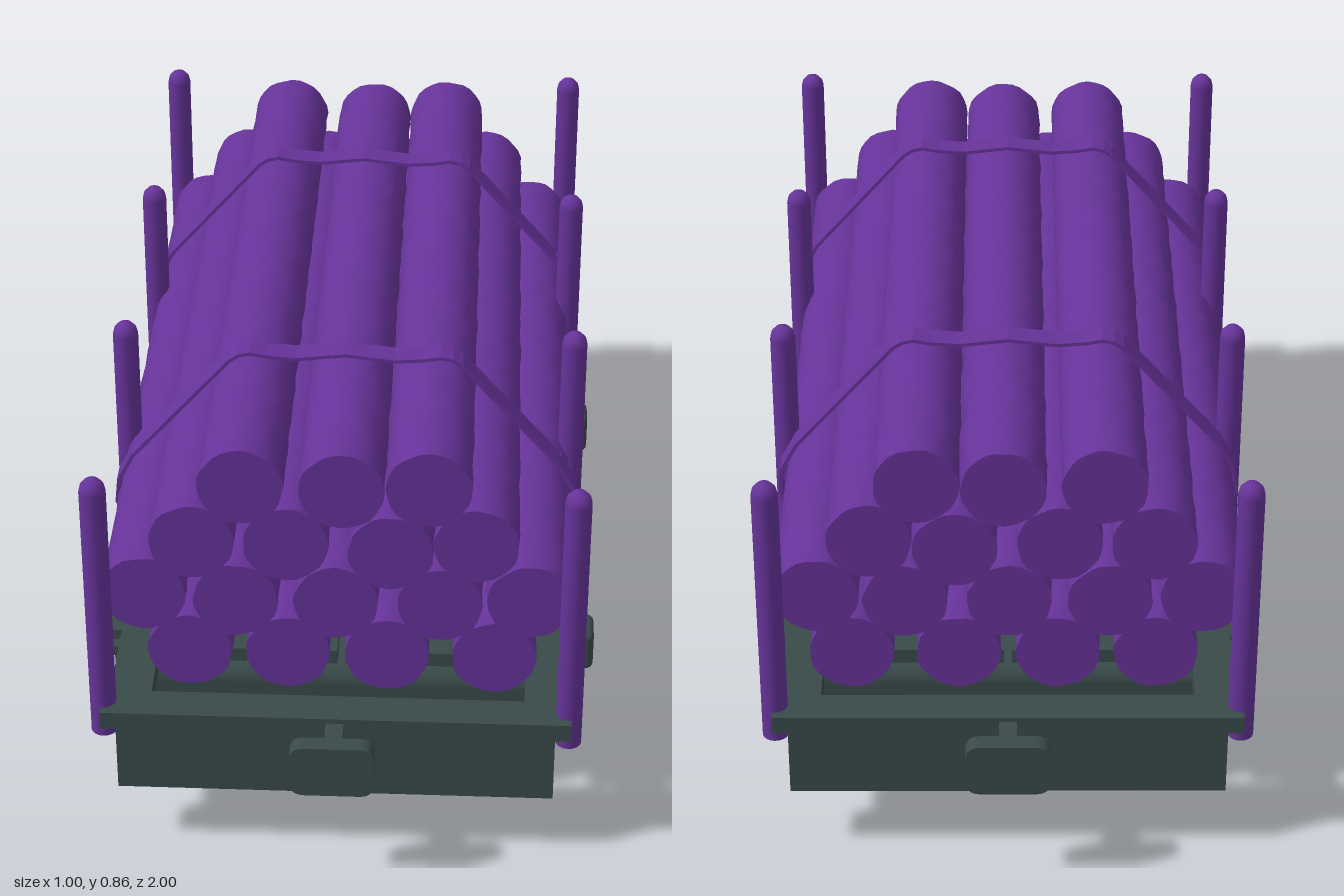
import * as THREE from 'three';
import { RoundedBoxGeometry } from 'three/addons/geometries/RoundedBoxGeometry.js';

const purple = new THREE.MeshStandardMaterial({ color: 0x663399 });
purple.name = 'purple timber and metal';
purple.side = THREE.DoubleSide;
const dark = new THREE.MeshStandardMaterial({ color: 0x384a49 });
dark.name = 'dark slate frame';

export function createModel() {
  const root = new THREE.Group();
  root.name = 'logWagon';

  function add(name, geometry, material, x = 0, y = 0, z = 0, parent = root) {
    const mesh = new THREE.Mesh(geometry, material);
    mesh.name = name;
    mesh.position.set(x, y, z);
    parent.add(mesh);
    return mesh;
  }
  // Box given by its limits
  function box(name, x0, x1, y0, y1, z0, z1, parent = root, material = dark) {
    return add(name, new THREE.BoxGeometry(x1 - x0, y1 - y0, z1 - z0), material,
      (x0 + x1) / 2, (y0 + y1) / 2, (z0 + z1) / 2, parent);
  }
  // Rounded box given by its limits
  function soft(name, x0, x1, y0, y1, z0, z1, r, parent = root) {
    return add(name, new RoundedBoxGeometry(x1 - x0, y1 - y0, z1 - z0, 3, r), dark,
      (x0 + x1) / 2, (y0 + y1) / 2, (z0 + z1) / 2, parent);
  }
  // Profile in (z, y), extruded across x
  function across(name, points, x0, x1, parent = root) {
    const shape = new THREE.Shape(points.map(([z, y]) => new THREE.Vector2(-z, y)));
    const g = new THREE.ExtrudeGeometry(shape, { depth: x1 - x0, bevelEnabled: false, curveSegments: 8 });
    g.rotateY(Math.PI / 2);
    return add(name, g, dark, x0, 0, 0, parent);
  }

  // Stacked logs with uneven bark
  const logs = [
    [-0.282, 0.385], [-0.095, 0.385], [0.094, 0.385], [0.298, 0.385],
    [-0.368, 0.514], [-0.193, 0.504], [-0.003, 0.504], [0.194, 0.504], [0.362, 0.516],
    [-0.274, 0.634], [-0.097, 0.634], [0.1, 0.62], [0.26, 0.64],
    [-0.18, 0.76], [0.008, 0.755], [0.17, 0.763],
  ];
  logs.forEach(([x, y], n) => {
    const g = new THREE.CylinderGeometry(0.08, 0.08, 1.54, 28, 36);
    g.rotateX(Math.PI / 2);
    const p = g.attributes.position;
    for (let i = 0; i < p.count; i++) {
      const a = Math.atan2(p.getY(i), p.getX(i)), z = p.getZ(i);
      const s = 1 + 0.012 * Math.sin(5 * a + 31 * z + n) + 0.012 * Math.sin(9 * a - 57 * z + 2 * n);
      p.setXY(i, p.getX(i) * s, p.getY(i) * s);
    }
    g.computeVertexNormals();
    add('log', g, purple, x, y, 0);
  });

  // Straps over the load
  const half = [[0, 0.858], [0.094, 0.847], [0.15, 0.851], [0.183, 0.857], [0.205, 0.852], [0.223, 0.84],
    [0.417, 0.618], [0.447, 0.56], [0.452, 0.51], [0.417, 0.435], [0.344, 0.328]];
  for (const z of [0.43, -0.38]) {
    const strap = new THREE.Group();
    strap.name = 'strap';
    root.add(strap);
    for (const s of [-1, 1]) {
      for (let i = 0; i < half.length - 1; i++) {
        const [ax, ay] = half[i], [bx, by] = half[i + 1];
        const len = Math.hypot(bx - ax, by - ay);
        const m = add('strapSegment', new THREE.BoxGeometry(len + 0.003, 0.007, 0.048), purple,
          s * (ax + bx) / 2, (ay + by) / 2, z, strap);
        m.rotation.z = s * Math.atan2(by - ay, bx - ax);
      }
    }
  }

  // Round-topped stakes with sockets
  const stake = new THREE.LatheGeometry([[0, 0.25], [0.025, 0.25], [0.025, 0.795], [0.022, 0.808],
    [0.013, 0.818], [0, 0.822]].map(([r, y]) => new THREE.Vector2(r, y)), 18);
  for (const s of [-1, 1]) {
    for (const z of [0.845, 0.283, -0.283, -0.845]) {
      add('stake', stake, purple, s * 0.443, 0, z);
    }
    for (const z of [0.8, -0.8]) {
      box('stakeSocket', s * 0.44 - 0.025, s * 0.44 + 0.025, 0.25, 0.285, z - 0.017, z + 0.017);
    }
    // Side sills
    box('sideSill', s * 0.4 - 0.04, s * 0.4 + 0.04, 0.24, 0.28, -0.8, 0.8);
  }

  // Underframe boxes and floor, four quarters with a narrow cross gap
  for (const sx of [-1, 1]) {
    for (const sz of [-1, 1]) {
      box('underframeBox', sx * 0.183 - 0.175, sx * 0.183 + 0.175, 0.155, 0.27,
        sz * 0.14 - 0.127, sz * 0.14 + 0.127);
      box('floorPanel', sx * 0.188 - 0.18, sx * 0.188 + 0.18, 0.25, 0.28,
        sz * 0.35 - 0.27, sz * 0.35 + 0.27);
    }
  }

  // End beam, lip and coupling, turned round for the other end
  for (const turn of [0, Math.PI]) {
    const end = new THREE.Group();
    end.name = 'wagonEnd';
    end.rotation.y = turn;
    root.add(end);
    box('endBeam', -0.417, 0.417, 0.14, 0.3, 0.822, 0.884, end);
    across('endLip', [[0.886, 0.28], [0.886, 0.317], [0.82, 0.317], [0.79, 0.282], [0.765, 0.28],
      [0.765, 0.25], [0.79, 0.25], [0.815, 0.28]], -0.447, 0.447, end);
    box('couplingShaft', -0.017, 0.017, 0.255, 0.307, 0.88, 0.97, end);
    const w = 0.08, h = 0.055, r = 0.03;
    const plate = new THREE.Shape();
    plate.moveTo(-w + r, -h);
    plate.lineTo(w - r, -h).quadraticCurveTo(w, -h, w, -h + r);
    plate.lineTo(w, h - r).quadraticCurveTo(w, h, w - r, h);
    plate.lineTo(-w + r, h).quadraticCurveTo(-w, h, -w, h - r);
    plate.lineTo(-w, -h + r).quadraticCurveTo(-w, -h, -w + r, -h);
    add('couplingPlate', new THREE.ExtrudeGeometry(plate, { depth: 0.035, bevelEnabled: false }),
      dark, 0, 0.28, 0.965, end);
  }

  // Wheel section: narrow tread inside, flared flange outside
  const wheel = new THREE.LatheGeometry([[0, 0.245], [0.11, 0.245], [0.12, 0.232], [0.138, 0.235],
    [0.138, 0.298], [0.158, 0.35], [0.145, 0.35], [0.125, 0.325], [0, 0.32]]
    .map(([r, x]) => new THREE.Vector2(r, x)), 36);
  wheel.rotateZ(-Math.PI / 2);

  // Running gear
  for (const z of [0.408, -0.408]) {
    const gear = new THREE.Group();
    gear.name = 'runningGear';
    gear.position.z = z;
    root.add(gear);
    soft('gearBody', -0.42, 0.42, 0.11, 0.235, -0.212, 0.212, 0.04, gear);
    box('gearbox', -0.133, 0.133, 0.073, 0.15, -0.09, 0.09, gear);
    for (const s of [-1, 1]) {
      const side = new THREE.Group();
      side.name = s > 0 ? 'leftSide' : 'rightSide';
      side.rotation.y = s > 0 ? 0 : Math.PI;
      gear.add(side);
      add('wheel', wheel, purple, 0, 0.158, 0, side);
      // Arched spring above the axle
      across('spring', [[-0.14, 0.225], [0.14, 0.225], [0.13, 0.262], [0.08, 0.288], [0.03, 0.302],
        [-0.03, 0.302], [-0.08, 0.288], [-0.13, 0.262]], 0.38, 0.442, side);
      // Side frame and axle box
      across('sideFrame', [[-0.128, 0.175], [-0.1, 0.12], [0.1, 0.12], [0.128, 0.175], [0.128, 0.215],
        [-0.128, 0.215]], 0.41, 0.455, side);
      box('frameRail', 0.43, 0.482, 0.19, 0.212, -0.125, 0.125, side);
      soft('axleBox', 0.4, 0.502, 0.12, 0.21, -0.04, 0.04, 0.014, side);
      box('brakeHanger', 0.358, 0.398, 0.056, 0.14, -0.015, 0.015, side);
      for (const t of [-1, 1]) {
        box('hanger', 0.437, 0.465, 0.1, 0.235, t * 0.085 - 0.01, t * 0.085 + 0.01, side);
        box('hangerFoot', 0.425, 0.482, 0.095, 0.11, t * 0.085 - 0.016, t * 0.085 + 0.016, side);
        box('hangerCap', 0.43, 0.482, 0.21, 0.235, t * 0.085 - 0.016, t * 0.085 + 0.016, side);
      }
    }
  }
  return root;
}
